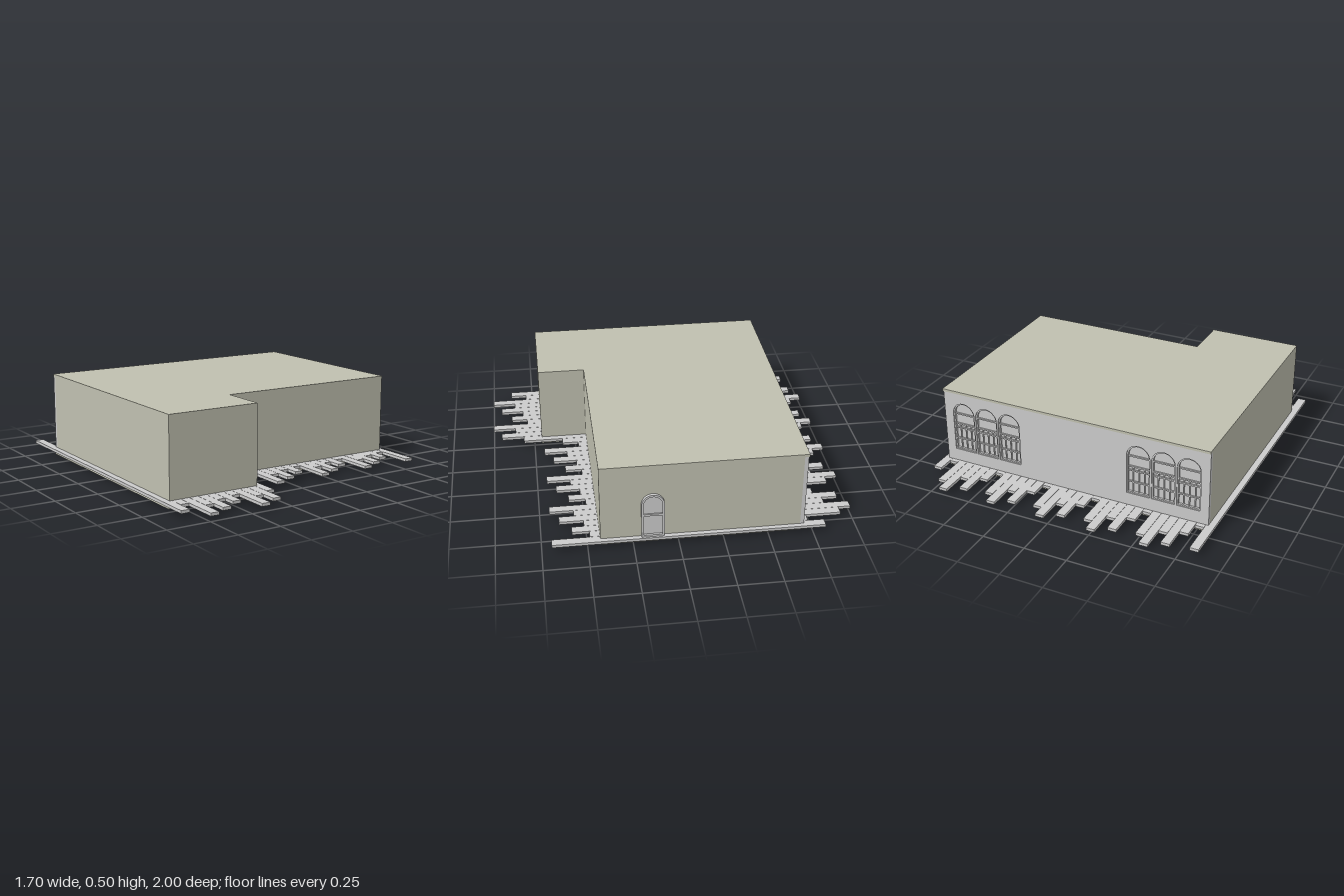
import * as THREE from 'three';

const stone = new THREE.MeshStandardMaterial({ color: 0xc0c0b0 });
const grey = new THREE.MeshStandardMaterial({ color: 0xcccccc });

function add(parent, name, geometry, material, x = 0, y = 0, z = 0) {
  const mesh = new THREE.Mesh(geometry, material);
  mesh.name = name;
  mesh.position.set(x, y, z);
  parent.add(mesh);
  return mesh;
}

// L-shaped slab between two heights, with its back edge at the given z
function lSlab(y0, y1, x0, x1, back) {
  const corners = [[x0, back], [x1, back], [x1, 0.43], [-0.27, 0.43], [-0.27, 0.705], [x0, 0.705]];
  const shape = new THREE.Shape(corners.map(([x, z]) => new THREE.Vector2(x, z)));
  const geometry = new THREE.ExtrudeGeometry(shape, { depth: y1 - y0, bevelEnabled: false });
  return geometry.rotateX(Math.PI / 2).translate(0, y1, 0);
}

// Round-headed outline, centred on cx
function arch(Type, cx, y0, y1, width) {
  const r = width / 2;
  const path = new Type();
  path.moveTo(cx - r, y0);
  path.lineTo(cx + r, y0);
  path.lineTo(cx + r, y1 - r);
  path.absarc(cx, y1 - r, r, 0, Math.PI, false);
  path.lineTo(cx - r, y0);
  return path;
}

function extrude(shape, depth) {
  return new THREE.ExtrudeGeometry(shape, { depth, bevelEnabled: false, curveSegments: 16 });
}

function archFrame(width, y0, y1, border, depth) {
  const shape = arch(THREE.Shape, 0, y0, y1, width);
  shape.holes.push(arch(THREE.Path, 0, y0 + border, y1 - border, width - 2 * border));
  return extrude(shape, depth);
}

// Arched window frame with glazing bars
function makeWindow(x) {
  const group = new THREE.Group();
  group.name = 'archedWindow';
  add(group, 'windowFrame', archFrame(0.138, 0.12, 0.425, 0.008, 0.014), grey, 0, 0, -0.696);
  for (const y of [0.19, 0.26, 0.285, 0.35]) {
    add(group, 'windowRail', new THREE.BoxGeometry(0.126, 0.008, 0.01), grey, 0, y, -0.687);
  }
  for (const dx of [-0.034, 0, 0.034]) {
    add(group, 'windowBar', new THREE.BoxGeometry(0.006, 0.165, 0.008), grey, dx, 0.205, -0.686);
  }
  group.position.x = x;
  return group;
}

// Arched door on the left side wall
function makeDoor() {
  const door = new THREE.Group();
  door.name = 'sideDoor';
  add(door, 'doorFrame', archFrame(0.126, 0.045, 0.318, 0.012, 0.017), grey);
  add(door, 'doorPanel', extrude(arch(THREE.Shape, 0, 0.05, 0.31, 0.11), 0.004), grey);
  add(door, 'doorRail', new THREE.BoxGeometry(0.106, 0.012, 0.012), grey, 0, 0.185, 0.006);
  door.rotation.y = Math.PI / 2;
  door.position.set(0.82, 0, 0.142);
  return door;
}

export function createModel() {
  const model = new THREE.Group();
  model.name = 'building';

  add(model, 'foundation', lSlab(0, 0.03, -0.82, 0.815, -0.7), stone);
  add(model, 'walls', lSlab(0.03, 0.485, -0.815, 0.82, -0.68), stone);
  add(model, 'roof', lSlab(0.485, 0.5, -0.815, 0.824, -0.706), stone);

  // Back wall pierced by two groups of three arches
  const centres = [-1, 1].flatMap((side) => [0.4, 0.548, 0.696].map((x) => side * x));
  const wall = new THREE.Shape();
  wall.moveTo(-0.815, 0.03);
  wall.lineTo(0.82, 0.03);
  wall.lineTo(0.82, 0.485);
  wall.lineTo(-0.815, 0.485);
  for (const x of centres) {
    wall.holes.push(arch(THREE.Path, x, 0.12, 0.425, 0.138));
    model.add(makeWindow(x));
    add(model, 'windowPane', extrude(arch(THREE.Shape, x, 0.12, 0.425, 0.138), 0.004), grey, 0, 0, -0.683);
  }
  add(model, 'backWall', extrude(wall, 0.022), grey, 0, 0, -0.702);

  model.add(makeDoor());

  // Floor planks with ragged ends that repeat every six
  const backEnds = [-0.93, -0.73, -0.82, -0.95, -0.86, -1];
  const frontEnds = [0.885, 0.79, 1, 0.865, 0.95, 0.815];
  const deck = new THREE.Group();
  deck.name = 'plankDeck';
  for (let i = 0; i < 33; i++) {
    const back = backEnds[i % 6];
    const front = frontEnds[i % 6] - (i > 11 ? 0.305 : 0);
    const plank = new THREE.BoxGeometry(0.05, 0.017, front - back);
    add(deck, 'plank', plank, grey, -0.826 + i * 0.0515, 0.036, (front + back) / 2);
  }
  model.add(deck);

  return model;
}
